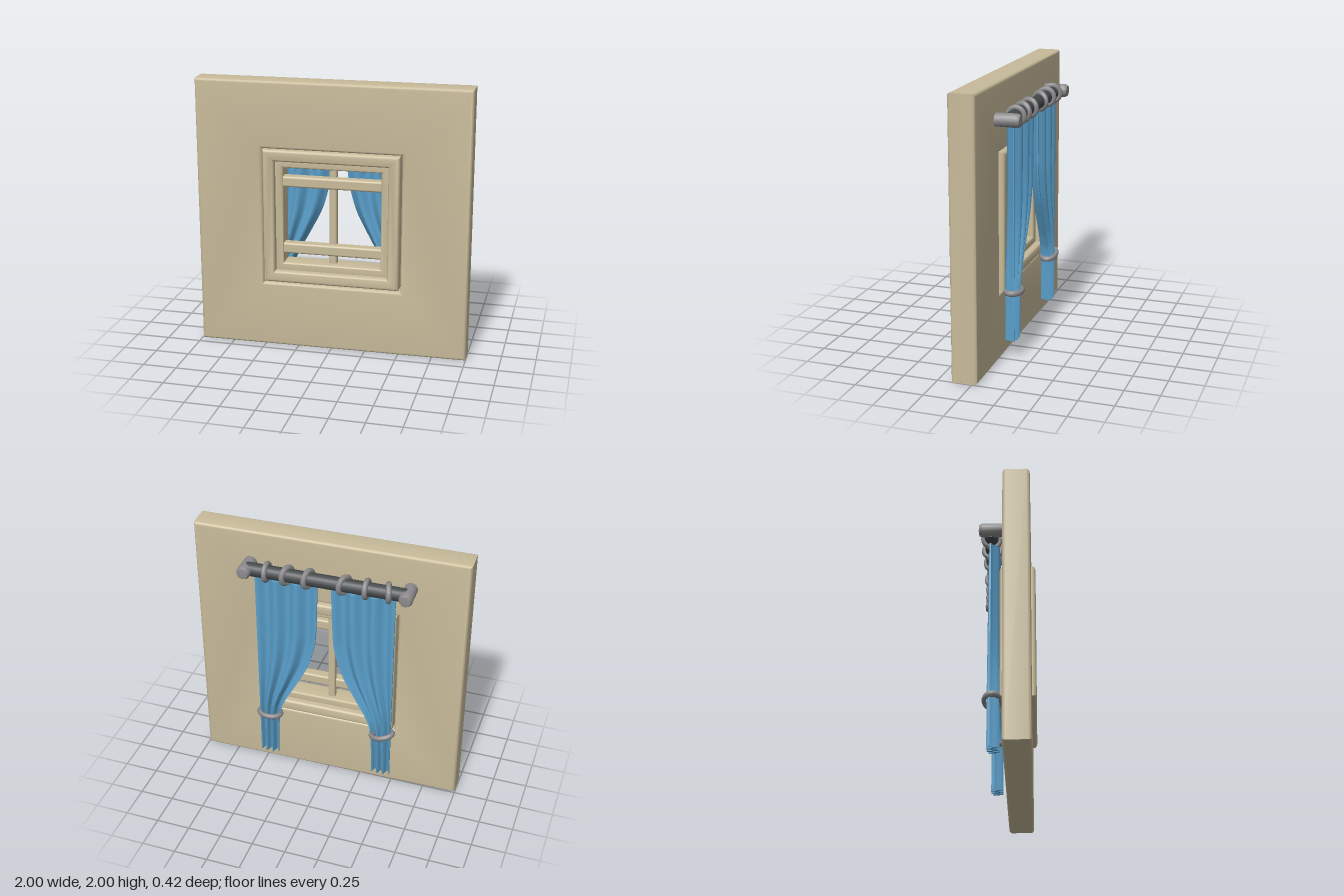
import * as THREE from 'three';
import { toCreasedNormals } from 'three/addons/utils/BufferGeometryUtils.js';
import { RoundedBoxGeometry } from 'three/addons/geometries/RoundedBoxGeometry.js';

const mat = (color, side = THREE.FrontSide) => new THREE.MeshStandardMaterial({ color, side });
const plaster = mat(0xc8bb9a);
const metal = mat(0x8c8a8c);
const darkMetal = mat(0x45494a);
const cloth = mat(0x5aa0cc, THREE.DoubleSide);

const WINDOW_Y = 1.01;
const ROD_Y = 1.755;
const ROD_Z = -0.112;

function add(parent, name, geometry, material, x = 0, y = 0, z = 0) {
  const mesh = new THREE.Mesh(geometry, material);
  mesh.name = name;
  mesh.position.set(x, y, z);
  parent.add(mesh);
  return mesh;
}

function squarePoints(half) {
  return [[-half, -half], [half, -half], [half, half], [-half, half]].map(([x, y]) => new THREE.Vector2(x, y));
}

// Square plate with a square hole and softened edges, centred in all axes
function squareRing(outer, inner, depth, bevel) {
  const shape = new THREE.Shape(squarePoints(outer));
  shape.holes.push(new THREE.Path(squarePoints(inner).reverse()));
  const geometry = new THREE.ExtrudeGeometry(shape, {
    depth: depth - 2 * bevel, bevelEnabled: true, bevelThickness: bevel,
    bevelSize: bevel, bevelOffset: -bevel, bevelSegments: 4,
  });
  geometry.translate(0, 0, bevel - depth / 2);
  return toCreasedNormals(geometry, 0.7);
}

// Folded cloth: closed cross-sections swept down from the rod, gathered at the tie
function curtainGeometry(side) {
  const innerEdge = new THREE.SplineCurve([
    [0.05, 1.7], [0.06, 1.37], [0.075, 1.2], [0.13, 1.0], [0.23, 0.8],
    [0.31, 0.65], [0.355, 0.5], [0.37, 0.14],
  ].map(([x, y]) => new THREE.Vector2(x, y)));
  const outerEdge = 0.51, rows = 36, cols = 32, loop = 2 * cols;
  const pos = [], index = [];
  for (let i = 0; i <= rows; i++) {
    const edge = innerEdge.getPoint(i / rows);
    const left = side > 0 ? edge.x : -outerEdge;
    const right = side > 0 ? outerEdge : -edge.x;
    for (let k = 0; k < loop; k++) {
      const front = k < cols;
      const j = front ? k : loop - 1 - k;
      const u = (2 * j) / (cols - 1) - 1;
      const thick = 0.006 + 0.014 * (1 - u ** 4);
      const wave = 0.025 * Math.cos(3 * Math.PI * u);
      pos.push(THREE.MathUtils.lerp(left, right, j / (cols - 1)), edge.y,
        -0.095 + wave + (front ? thick : -thick));
    }
  }
  for (let i = 0; i < rows; i++) {
    for (let k = 0; k < loop; k++) {
      const a = i * loop + k, b = i * loop + ((k + 1) % loop);
      index.push(a, a + loop, b, b, a + loop, b + loop);
    }
  }
  // top and bottom hems
  const base = rows * loop;
  for (let j = 0; j < cols - 1; j++) {
    const f = j, g = j + 1, b = loop - 1 - j, c = loop - 2 - j;
    index.push(f, g, b, g, c, b);
    index.push(base + f, base + b, base + g, base + g, base + b, base + c);
  }
  const geometry = new THREE.BufferGeometry();
  geometry.setAttribute('position', new THREE.Float32BufferAttribute(pos, 3));
  geometry.setIndex(index);
  return toCreasedNormals(geometry, 1.0);
}

export function createModel() {
  const model = new THREE.Group();
  model.name = 'curtainedWindowWall';
  model.rotation.y = 0.02;

  // Wall panel with the window opening
  const wall = add(model, 'wall', squareRing(1, 0.51, 0.19, 0.022), plaster, 0, 1, 0.075);
  wall.scale.x = 0.998;

  // Window: outer frame, recessed sash and glazing bars
  const windowGroup = new THREE.Group();
  windowGroup.name = 'window';
  windowGroup.position.y = WINDOW_Y;
  model.add(windowGroup);
  add(windowGroup, 'outerFrame', squareRing(0.5, 0.415, 0.255, 0.025), plaster, 0, 0, 0.075);
  add(windowGroup, 'sash', squareRing(0.425, 0.36, 0.15, 0.015), plaster, 0, 0, 0.075);
  for (const y of [-0.25, 0.255]) {
    add(windowGroup, 'crossBar', new RoundedBoxGeometry(0.76, 0.08, 0.08, 3, 0.016), plaster, 0, y, 0.1);
  }
  add(windowGroup, 'uprightBar', new RoundedBoxGeometry(0.055, 0.76, 0.055, 3, 0.014), plaster, -0.003, 0, 0.065);

  // Curtain rod
  const rod = new THREE.CylinderGeometry(0.05, 0.05, 1.16, 16);
  rod.rotateZ(Math.PI / 2);
  add(model, 'curtainRod', rod, darkMetal, -0.005, ROD_Y, ROD_Z);

  // Wall brackets with chamfered ends
  const bracket = new THREE.LatheGeometry(
    [[0, 0], [0.048, 0], [0.05, 0.16], [0.04, 0.18], [0, 0.185]].map(([r, y]) => new THREE.Vector2(r, y)), 12);
  bracket.rotateX(-Math.PI / 2);
  const bracketGeometry = toCreasedNormals(bracket, 0.6);
  for (const x of [-0.59, 0.575]) add(model, 'rodBracket', bracketGeometry, metal, x, ROD_Y, -0.015);

  // Loose rings, each turned a little differently: [x, turn]
  const ringGeometry = new THREE.TorusGeometry(0.059, 0.02, 8, 20);
  ringGeometry.rotateY(Math.PI / 2);
  for (const [x, turn] of [[-0.455, 0.25], [-0.3, 0], [-0.14, -0.45], [0.12, -0.3], [0.275, -0.38], [0.425, 0]]) {
    const ring = add(model, 'curtainRing', ringGeometry, metal, x, ROD_Y, ROD_Z);
    ring.rotation.y = turn;
  }

  // Curtains and their ties
  const tieGeometry = new THREE.TorusGeometry(0.08, 0.022, 8, 24);
  tieGeometry.rotateX(Math.PI / 2);
  tieGeometry.scale(1, 1, 0.72);
  for (const side of [-1, 1]) {
    const name = side > 0 ? 'left' : 'right';
    add(model, name + 'Curtain', curtainGeometry(side), cloth);
    const tie = add(model, name + 'CurtainTie', tieGeometry, metal, side * 0.438, 0.5, -0.102);
    tie.rotation.z = side > 0 ? 0.03 : -0.25;
  }
  return model;
}
